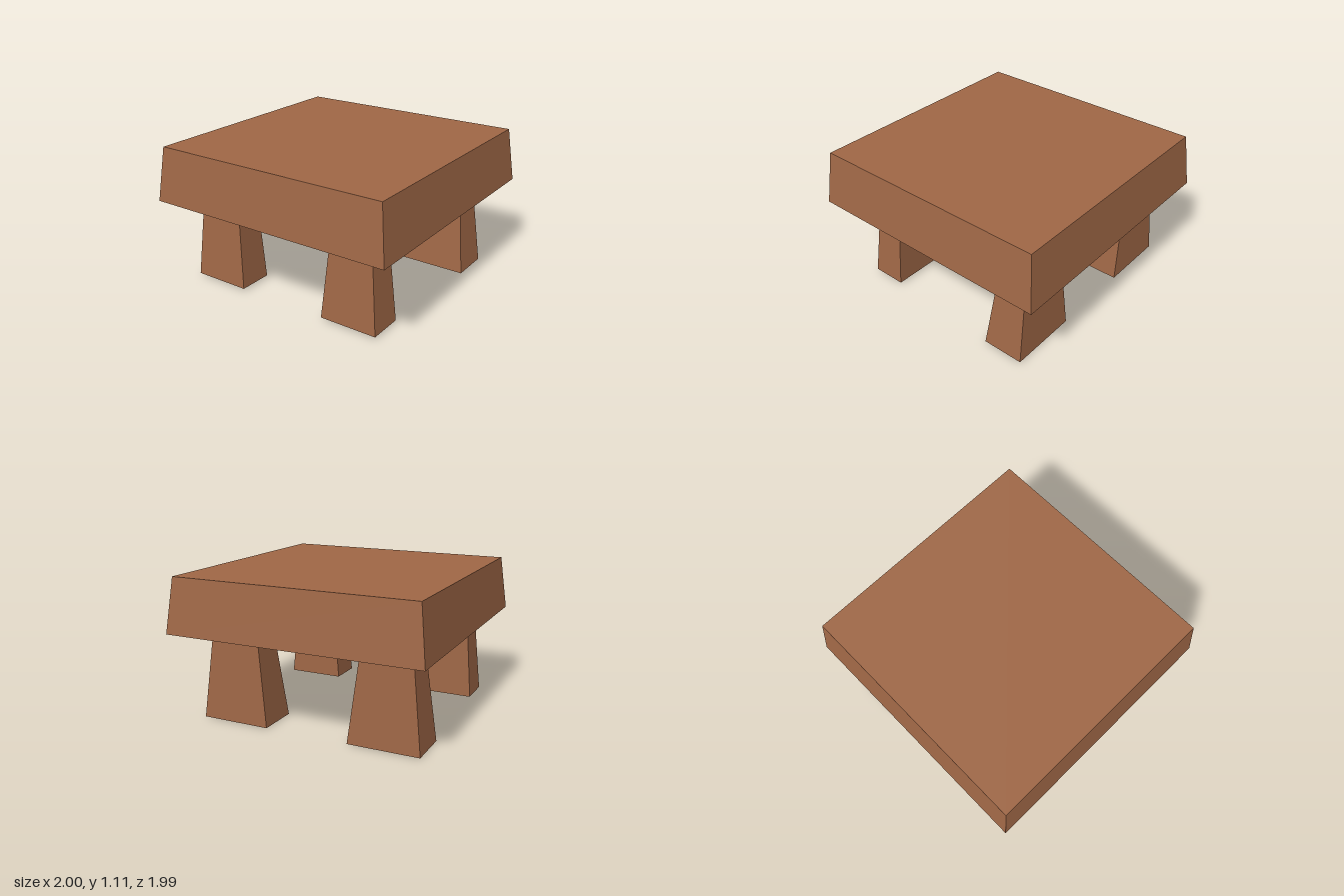
import * as THREE from 'three';

// Joins rectangular rings [y, x0, x1, z0, z1], listed top to bottom along the surface, and caps both ends.
function loft(rings) {
  const corners = rings.map(([y, x0, x1, z0, z1]) => [[x0, y, z1], [x1, y, z1], [x1, y, z0], [x0, y, z0]]);
  const pos = [];
  const quad = (a, b, c, d) => [a, b, c, a, c, d].forEach((p) => pos.push(...p));
  quad(...corners[0]);
  for (let r = 0; r < corners.length - 1; r++) {
    const up = corners[r], low = corners[r + 1];
    for (let i = 0; i < 4; i++) {
      const j = (i + 1) % 4;
      quad(low[i], low[j], up[j], up[i]);
    }
  }
  quad(...corners[corners.length - 1].slice().reverse());
  const geometry = new THREE.BufferGeometry();
  geometry.setAttribute('position', new THREE.Float32BufferAttribute(pos, 3));
  geometry.computeVertexNormals();
  return geometry;
}

export function createModel() {
  const group = new THREE.Group();
  const wood = new THREE.MeshStandardMaterial({ color: 0x9f6746, flatShading: true });
  wood.name = 'brown wood';
  const add = (name, rings) => {
    const mesh = new THREE.Mesh(loft(rings), wood);
    mesh.name = name;
    group.add(mesh);
  };

  // Thick tapered top, hollow underneath
  add('tableTop', [
    [1.11, -0.95, 0.95, -0.95, 0.945],
    [0.685, -1, 1, -0.995, 0.99],
    [0.685, -0.77, 0.77, -0.91, 0.94],
    [1.0, -0.77, 0.77, -0.91, 0.94],
  ]);

  // Flush board under the hollow, leaving a slot at the front and back
  add('underBoard', [
    [0.695, -0.77, 0.77, -0.72, 0.79],
    [0.686, -0.77, 0.77, -0.72, 0.79],
  ]);

  // Tapered legs, running up past the board; the back pair is larger
  add('backRightLeg', [[0.76, -0.828, -0.459, -0.757, -0.542], [0, -0.907, -0.36, -0.785, -0.46]]);
  add('backLeftLeg', [[0.76, 0.378, 0.745, -0.757, -0.542], [0, 0.298, 0.845, -0.785, -0.46]]);
  add('frontRightLeg', [[0.76, -0.805, -0.467, 0.498, 0.7], [0.015, -0.865, -0.4, 0.485, 0.76]]);
  add('frontLeftLeg', [[0.76, 0.4, 0.723, 0.498, 0.7], [0.015, 0.34, 0.8, 0.485, 0.76]]);

  return group;
}
